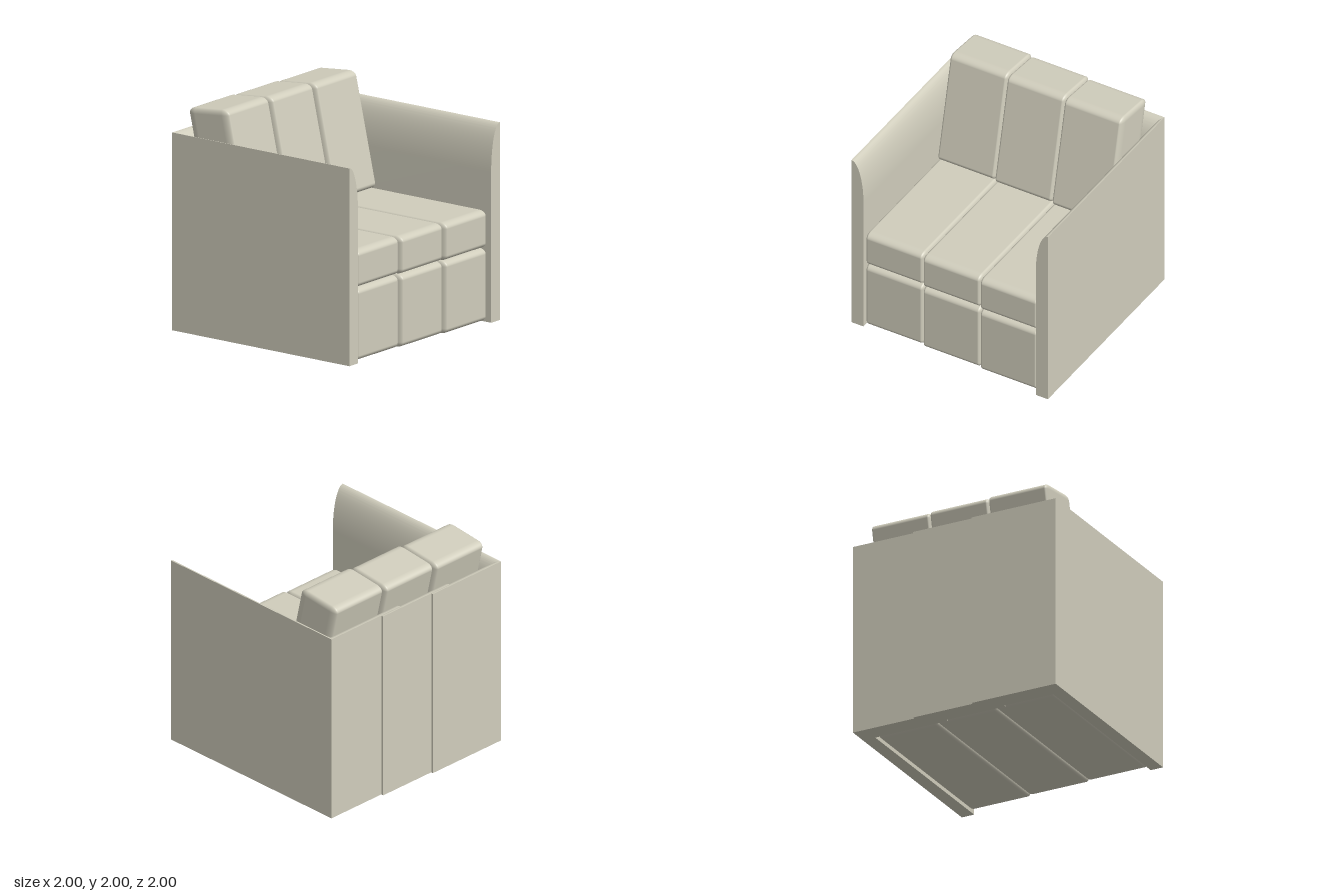
import * as THREE from 'three';
import { toCreasedNormals } from 'three/addons/utils/BufferGeometryUtils.js';
import { RoundedBoxGeometry } from 'three/addons/geometries/RoundedBoxGeometry.js';

const fabric = new THREE.MeshStandardMaterial({ color: 0xd0cdbc });
fabric.name = 'stone fabric';

const STRETCH = [0.6, 1, 1.5]; // gives the cushions their uneven rounding
const WIDTH = 0.583;
const STEP = 0.022; // each module sits a little further forward than the last

// Upright wall: flat outside, inside curving out to a thin top edge; runs along z
function wallGeometry(thickness, length) {
  const top = 1.755, shoulder = 1.34;
  const shape = new THREE.Shape();
  shape.moveTo(0, 0);
  shape.lineTo(thickness, 0);
  shape.lineTo(thickness, shoulder);
  shape.absellipse(0, shoulder, thickness, top - shoulder, 0, Math.PI / 2, false, 0);
  shape.lineTo(0, 0);
  const geometry = new THREE.ExtrudeGeometry(shape, {
    depth: length, bevelEnabled: false, curveSegments: 20,
  });
  return toCreasedNormals(geometry, 0.5);
}

// Soft box, optionally leaning back, stretched to its final proportions
function cushionGeometry(height, depth, lean = 0) {
  const [sx, sy, sz] = STRETCH;
  const geometry = new RoundedBoxGeometry(WIDTH / sx, height, depth, 6, 0.05);
  geometry.rotateX(-lean);
  geometry.scale(sx, sy, sz);
  return geometry;
}

export function createModel() {
  const model = new THREE.Group();
  model.name = 'armchair';

  function add(name, geometry, x, y, z, turn = 0) {
    const mesh = new THREE.Mesh(geometry, fabric);
    mesh.name = name;
    mesh.position.set(x, y, z);
    mesh.rotation.y = turn;
    model.add(mesh);
  }

  // Arms
  add('rightArm', wallGeometry(0.12, 1.93), -1, 0, -1);
  add('leftArm', wallGeometry(0.12, 1.957), 1, 0, 1, Math.PI);

  // Overlapping back panels, one per module: [from x, to x, z]
  const panels = [[-1, -0.18, -1], [-0.4, 0.4, -0.98], [0.17, 1, -0.957]];
  for (const [from, to, z] of panels) {
    add('backPanel', wallGeometry(0.18, to - from), to, 0, z, -Math.PI / 2);
  }

  // Three modules of base, seat and back cushions
  const seatDepth = 1.74;
  const base = cushionGeometry(0.648, seatDepth / STRETCH[2]);
  const seat = cushionGeometry(0.335, seatDepth / STRETCH[2]);
  const back = cushionGeometry(1.02, 0.293, 0.149);
  for (let i = -1; i <= 1; i++) {
    const x = i * WIDTH;
    const shift = (i - 1) * STEP;
    const seatZ = 0.965 - seatDepth / 2 + shift;
    add('baseCushion', base, x, 0.334, seatZ);
    add('seatCushion', seat, x, 0.8275, seatZ);
    add('backCushion', back, x, 1.48, -0.56 + shift);
  }
  return model;
}
